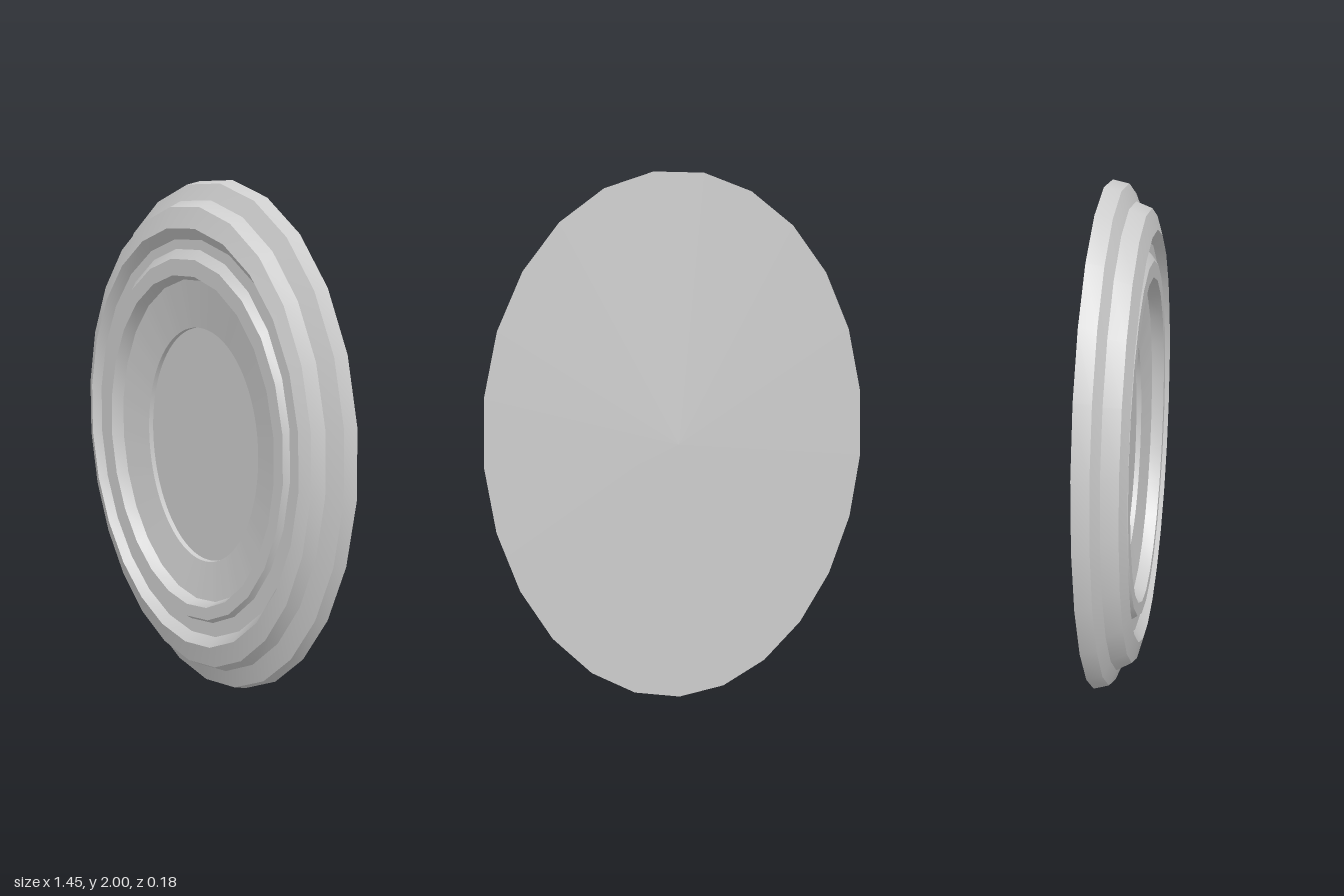
import * as THREE from 'three';

const SIDES = 25; // corners of the moulded frame
const SUB = 4; // subdivisions per side, for the rounder inner oval

// Each ring: left x, right x, top y, bottom y, z (profile runs from back to front to inside)
const RINGS = {
  backRim: [-0.732, 0.727, 2.0, 0.0, -0.083],
  outerEdge: [-0.727, 0.722, 1.987, 0.022, -0.023],
  ledge: [-0.688, 0.663, 1.928, 0.095, 0.004],
  shoulder: [-0.668, 0.652, 1.905, 0.13, 0.062],
  crest: [-0.622, 0.615, 1.83, 0.22, 0.084],
  groove: [-0.602, 0.597, 1.79, 0.255, 0.05],
  beadFoot: [-0.55, 0.54, 1.755, 0.31, 0.05],
  beadOuter: [-0.54, 0.53, 1.72, 0.328, 0.074],
  beadInner: [-0.492, 0.485, 1.66, 0.378, 0.074],
  matOuter: [-0.477, 0.475, 1.643, 0.39, 0.025],
  matInner: [-0.33, 0.325, 1.466, 0.545, 0.0],
  panelEdge: [-0.329, 0.324, 1.465, 0.546, -0.02],
  panelCentre: [0, 0, 1.005, 1.005, -0.02],
  backCentre: [0, 0, 1.0, 1.0, -0.087],
};

// Point on a slightly egg-shaped oval; angle 0 is the bottom corner
function ovalPoint([left, right, top, bottom, z], angle, stretch) {
  const s = Math.sin(angle), c = -Math.cos(angle);
  const cy = (top + bottom) / 2, ry = (top - bottom) / 2;
  const x = (left + right) / 2 + ((right - left) / 2) * s * (1 + 0.025 * c);
  const y = cy + ry * c * (c > 0 ? stretch : 1);
  return new THREE.Vector3(x, y, z + 0.009 * (y - 1));
}

// Ring of points; faceted rings keep their straight sides when subdivided
function ringPoints(name, sub, round) {
  const step = (Math.PI * 2) / SIDES, pts = [];
  const stretch = round ? 1 : 1 / Math.cos(step / 2);
  for (let i = 0; i < SIDES; i++) {
    for (let k = 0; k < sub; k++) {
      const f = k / sub;
      if (round) pts.push(ovalPoint(RINGS[name], (i + f) * step, 1));
      else {
        const a = ovalPoint(RINGS[name], i * step, stretch);
        pts.push(a.lerp(ovalPoint(RINGS[name], (i + 1) * step, stretch), f));
      }
    }
  }
  return pts;
}

// Strip between two rings, smooth around the oval with a crisp edge to its neighbours
function band(from, to, sub = 1, roundFrom = false, roundTo = false) {
  const a = ringPoints(from, sub, roundFrom), b = ringPoints(to, sub, roundTo);
  const n = a.length, index = [];
  for (let i = 0; i < n; i++) {
    const j = (i + 1) % n;
    index.push(i, j, n + j, i, n + j, n + i);
  }
  const geometry = new THREE.BufferGeometry().setFromPoints([...a, ...b]);
  geometry.setIndex(index);
  geometry.computeVertexNormals();
  return geometry;
}

export function createModel() {
  const model = new THREE.Group();
  model.name = 'ovalFrame';
  const material = new THREE.MeshStandardMaterial({ color: 0xcccccc });
  const add = (name, geometry, parent = model) => {
    const mesh = new THREE.Mesh(geometry, material);
    mesh.name = name;
    parent.add(mesh);
  };

  // Stepped moulding
  const moulding = new THREE.Group();
  moulding.name = 'moulding';
  model.add(moulding);
  const profile = ['backRim', 'outerEdge', 'ledge', 'shoulder', 'crest', 'groove',
    'beadFoot', 'beadOuter', 'beadInner', 'matOuter'];
  const names = ['outerWall', 'outerBevel', 'riser', 'shoulderSlope', 'crestInnerWall',
    'grooveFloor', 'beadOuterWall', 'beadFace', 'beadInnerWall'];
  names.forEach((name, i) => add(name, band(profile[i], profile[i + 1]), moulding));

  // Mat with a smooth oval opening, and the recessed panel inside it
  add('mat', band('matOuter', 'matInner', SUB, false, true));
  add('matEdge', band('matInner', 'panelEdge', SUB, true, true));
  add('panel', band('panelEdge', 'panelCentre', SUB, true, true));

  // Closed back
  add('backBoard', band('backCentre', 'backRim'));
  return model;
}
